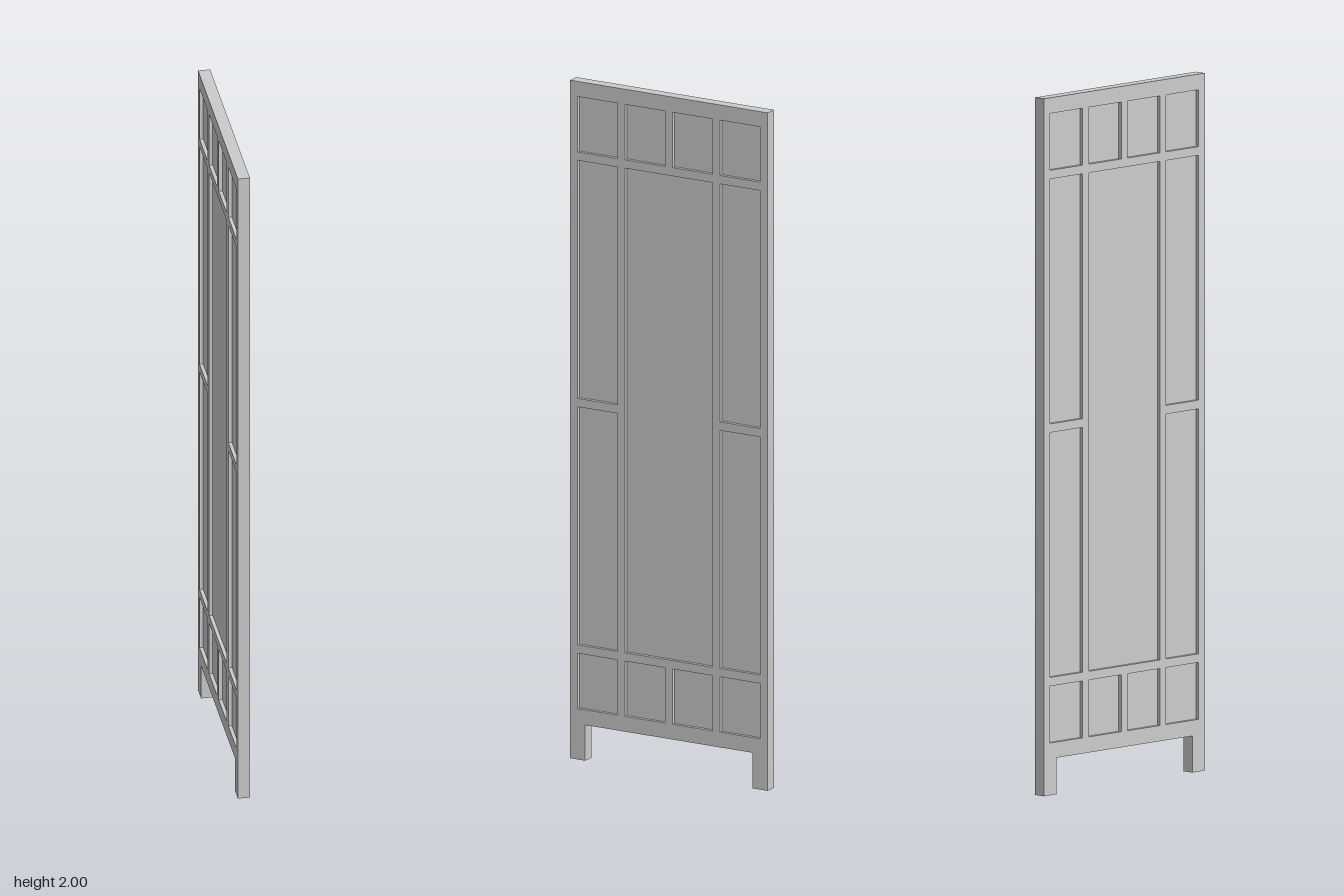
import * as THREE from 'three';

export function createModel() {
  const group = new THREE.Group();
  group.name = 'panelScreen';
  const material = new THREE.MeshStandardMaterial({ color: 0xcccccc, flatShading: true });

  const halfW = 0.325, thick = 0.035, height = 2;
  const legW = 0.05, legH = 0.105;
  const bar = 0.025, rail = 0.045;
  const paneW = (2 * halfW - 5 * bar) / 4;
  const paneH = 0.163;
  const low = legH + rail, high = height - rail;
  const midLow = low + paneH + bar, midHigh = high - paneH - bar;
  const mid = (midLow + midHigh) / 2;
  const colStart = (i) => -halfW + bar + i * (paneW + bar);

  // Frame outline with the two feet
  const outline = new THREE.Shape([
    [-halfW, 0], [-halfW + legW, 0], [-halfW + legW, legH],
    [halfW - legW, legH], [halfW - legW, 0], [halfW, 0],
    [halfW, height], [-halfW, height],
  ].map(([x, y]) => new THREE.Vector2(x, y)));

  const addOpening = (x0, x1, y0, y1) => {
    outline.holes.push(new THREE.Path([
      new THREE.Vector2(x0, y0), new THREE.Vector2(x0, y1),
      new THREE.Vector2(x1, y1), new THREE.Vector2(x1, y0),
    ]));
  };

  // Rows of four small panes at the bottom and top
  for (let i = 0; i < 4; i++) {
    const x = colStart(i);
    addOpening(x, x + paneW, low, low + paneH);
    addOpening(x, x + paneW, high - paneH, high);
  }
  // Two stacked tall panes at each side
  for (const i of [0, 3]) {
    const x = colStart(i);
    addOpening(x, x + paneW, midLow, mid - bar / 2);
    addOpening(x, x + paneW, mid + bar / 2, midHigh);
  }
  // Large centre pane
  addOpening(colStart(1), colStart(2) + paneW, midLow, midHigh);

  const frameGeometry = new THREE.ExtrudeGeometry(outline, { depth: thick, bevelEnabled: false });
  frameGeometry.translate(0, 0, -thick / 2);
  frameGeometry.rotateY(Math.PI / 2);
  const frame = new THREE.Mesh(frameGeometry, material);
  frame.name = 'frame';
  group.add(frame);

  // Recessed infill sheet, seen through the openings on both faces
  const infill = new THREE.Mesh(
    new THREE.BoxGeometry(0.014, high - low + 0.02, 2 * (halfW - bar) + 0.02), material);
  infill.name = 'infillPanel';
  infill.position.y = (low + high) / 2;
  group.add(infill);

  return group;
}
